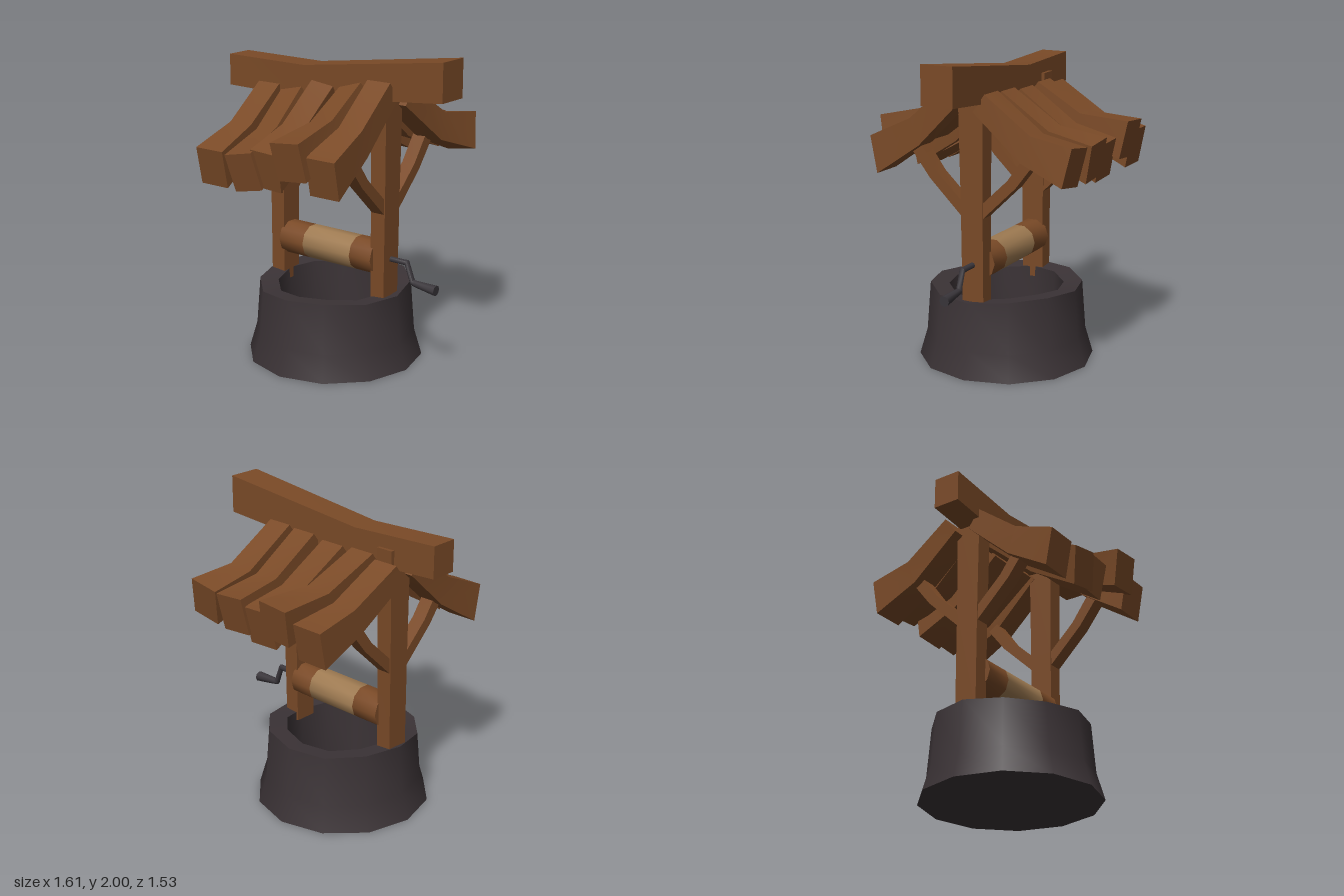
import * as THREE from 'three';
import { toCreasedNormals } from 'three/addons/utils/BufferGeometryUtils.js';

const V = (x, y, z) => new THREE.Vector3(x, y, z);
const Z0 = 0.025; // depth of the posts and the well axis
const X0 = -0.057; // sideways centre of the well

// Skin a list of equal-sized cross-sections, cap both ends and face outward
function loft(sections, crease = 0.85) {
  const n = sections[0].length;
  const pts = sections.flat();
  const idx = [];
  for (let s = 0; s < sections.length - 1; s++) {
    for (let i = 0; i < n; i++) {
      const a = s * n + i, b = s * n + (i + 1) % n;
      idx.push(a, b, b + n, a, b + n, a + n);
    }
  }
  const last = (sections.length - 1) * n;
  for (let i = 1; i < n - 1; i++) {
    idx.push(0, i + 1, i, last, last + i, last + i + 1);
  }
  let volume = 0;
  for (let i = 0; i < idx.length; i += 3) {
    volume += pts[idx[i]].dot(pts[idx[i + 1]].clone().cross(pts[idx[i + 2]]));
  }
  if (volume < 0) idx.reverse();
  const geo = new THREE.BufferGeometry().setFromPoints(pts);
  geo.setIndex(idx);
  return toCreasedNormals(geo, crease);
}

// Rectangle given by centre and two half-extent vectors
const quad = (c, u, v) => [[-1, -1], [1, -1], [1, 1], [-1, 1]].map(([a, b]) =>
  c.clone().addScaledVector(u, a).addScaledVector(v, b));

// Ring of n points given by centre and two radius vectors
const ring = (c, u, v, n) => Array.from({ length: n }, (_, i) => {
  const t = (i / n) * Math.PI * 2;
  return c.clone().addScaledVector(u, Math.cos(t)).addScaledVector(v, Math.sin(t));
});

export function createModel() {
  const group = new THREE.Group();
  const material = (name, color) => {
    const m = new THREE.MeshStandardMaterial({ color });
    m.name = name;
    return m;
  };
  const wood = material('brown wood', 0x7a4a27);
  const stone = material('dark stone', 0x3b3336);
  const rope = material('tan rope', 0x9f7b52);
  const iron = material('dark iron', 0x3a363b);

  const add = (name, geo, mat) => {
    const mesh = new THREE.Mesh(geo, mat);
    mesh.name = name;
    group.add(mesh);
    return mesh;
  };

  // Flared stone wall with a gently uneven rim
  const profile = [[0, 0], [0.565, 0], [0.515, 0.17], [0.49, 0.48], [0.37, 0.47], [0.37, 0.05], [0, 0.05]];
  const wall = new THREE.LatheGeometry(profile.map(p => new THREE.Vector2(...p)), 12);
  const pos = wall.attributes.position;
  for (let i = 0; i < pos.count; i++) {
    if (pos.getY(i) > 0.4) {
      const a = Math.atan2(pos.getX(i), pos.getZ(i));
      pos.setY(i, pos.getY(i) + 0.012 * Math.sin(3 * a + 0.5) - 0.012 * Math.cos(a) + 0.008);
    }
  }
  wall.translate(X0, 0, Z0);
  add('stoneWall', toCreasedNormals(wall, 0.65), stone);

  // Posts with two bent braces each
  for (const [side, bottomX, topX] of [['right', -0.472, -0.463], ['left', 0.33, 0.342]]) {
    const section = (x, y, w, d) => quad(V(x, y, Z0), V(w, 0, 0), V(0, 0, d));
    add(side + 'Post', loft([
      section(bottomX, 0.42, 0.05, 0.074),
      section((bottomX + topX) / 2, 1.1, 0.053, 0.076),
      section(topX, 1.8, 0.056, 0.085),
    ]), wood);

    for (const [end, s] of [['Front', 1], ['Back', -1]]) {
      const x = (bottomX + topX) / 2;
      const brace = (y, dz, ny, nz) =>
        quad(V(x, y, Z0 + s * dz), V(0.046, 0, 0), V(0, ny, s * nz));
      add(side + end + 'Brace', loft([
        brace(1.03, 0.04, 0.026, -0.024),
        brace(1.25, 0.27, 0.02, -0.028),
        brace(1.41, 0.39, 0.02, -0.032),
      ]), wood);
    }
  }

  // Crooked ridge beam: x, bottom, top, back, front
  add('ridgeBeam', loft([
    [-0.805, 1.69, 1.89, -0.02, 0.157],
    [-0.22, 1.672, 1.877, -0.05, 0.128],
    [0.8, 1.76, 2.0, -0.095, 0.117],
  ].map(([x, y0, y1, z0, z1]) => quad(
    V(x, (y0 + y1) / 2, (z0 + z1) / 2),
    V(0, (y1 - y0) / 2, 0),
    V(0, 0, (z1 - z0) / 2)))), wood);

  // Bent roof planks: x at ridge, bend and eave; top height at each; eave depth; roll at ridge and eave
  const planks = {
    front: [
      [-0.488, -0.487, -0.497, 1.74, 1.525, 1.41, 0.70, 0, 0],
      [-0.308, -0.275, -0.258, 1.725, 1.525, 1.42, 0.71, 0.22, 0.2],
      [-0.06, -0.065, -0.072, 1.785, 1.56, 1.45, 0.685, -0.12, -0.05],
      [0.152, 0.15, 0.15, 1.80, 1.625, 1.555, 0.765, 0.28, 0.1],
      [0.367, 0.365, 0.36, 1.845, 1.605, 1.475, 0.70, 0, 0],
    ],
    back: [
      [-0.51, -0.48, -0.457, 1.74, 1.55, 1.49, 0.705, 0, 0],
      [-0.325, -0.275, -0.243, 1.77, 1.60, 1.585, 0.765, 0, 0.08],
      [-0.085, -0.055, -0.033, 1.76, 1.55, 1.48, 0.69, 0, -0.05],
      [0.155, 0.162, 0.173, 1.78, 1.57, 1.52, 0.72, 0, -0.08],
      [0.365, 0.39, 0.412, 1.79, 1.57, 1.525, 0.705, 0, 0.15],
    ],
  };
  for (const [end, list] of Object.entries(planks)) {
    const s = end === 'front' ? 1 : -1;
    list.forEach(([xa, xb, xc, ya, yb, yc, zEave, rollA, rollC], i) => {
      // Section hanging from the middle of its upper edge
      const section = (x, y, z, half, dropY, dropZ, roll) => {
        const u = V(half * Math.cos(roll), half * Math.sin(roll), 0);
        const v = V(Math.sin(roll) * dropY / 2, -Math.cos(roll) * dropY / 2, -s * dropZ / 2);
        return quad(V(x, y, s * z).add(v), u, v);
      };
      const zRidge = s > 0 ? 0.145 : 0.1;
      add(end + 'RoofPlank' + (i + 1), loft([
        section(xa, ya, zRidge, 0.084, 0.11, 0.08, rollA),
        section(xb, yb, 0.42, 0.084, 0.165, 0.06, (rollA + rollC) / 2),
        section(xc, yc, zEave, 0.106, 0.235, 0.045, rollC),
      ]), wood);
    });
  }

  // Winding drum: rope between two bare wooden ends
  for (const [name, x0, x1, mat] of [
    ['drumRightEnd', -0.43, -0.238, wood],
    ['ropeWinding', -0.238, 0.137, rope],
    ['drumLeftEnd', 0.137, 0.3, wood],
  ]) {
    const drum = new THREE.CylinderGeometry(0.11, 0.11, x1 - x0, 10);
    drum.rotateZ(Math.PI / 2);
    add(name, toCreasedNormals(drum, 0.8), mat).position.set((x0 + x1) / 2, 0.71, Z0);
  }

  // Crank with a flared grip: x, y, radius, tilt of the section
  add('crank', loft([
    [0.33, 0.712, 0.018, 0],
    [0.505, 0.712, 0.02, -0.4],
    [0.548, 0.595, 0.02, -0.55],
    [0.57, 0.59, 0.022, -0.08],
    [0.722, 0.577, 0.034, -0.06],
  ].map(([x, y, r, t]) => ring(
    V(x, y, Z0), V(-r * Math.sin(t), r * Math.cos(t), 0), V(0, 0, r), 8))), iron);

  return group;
}
